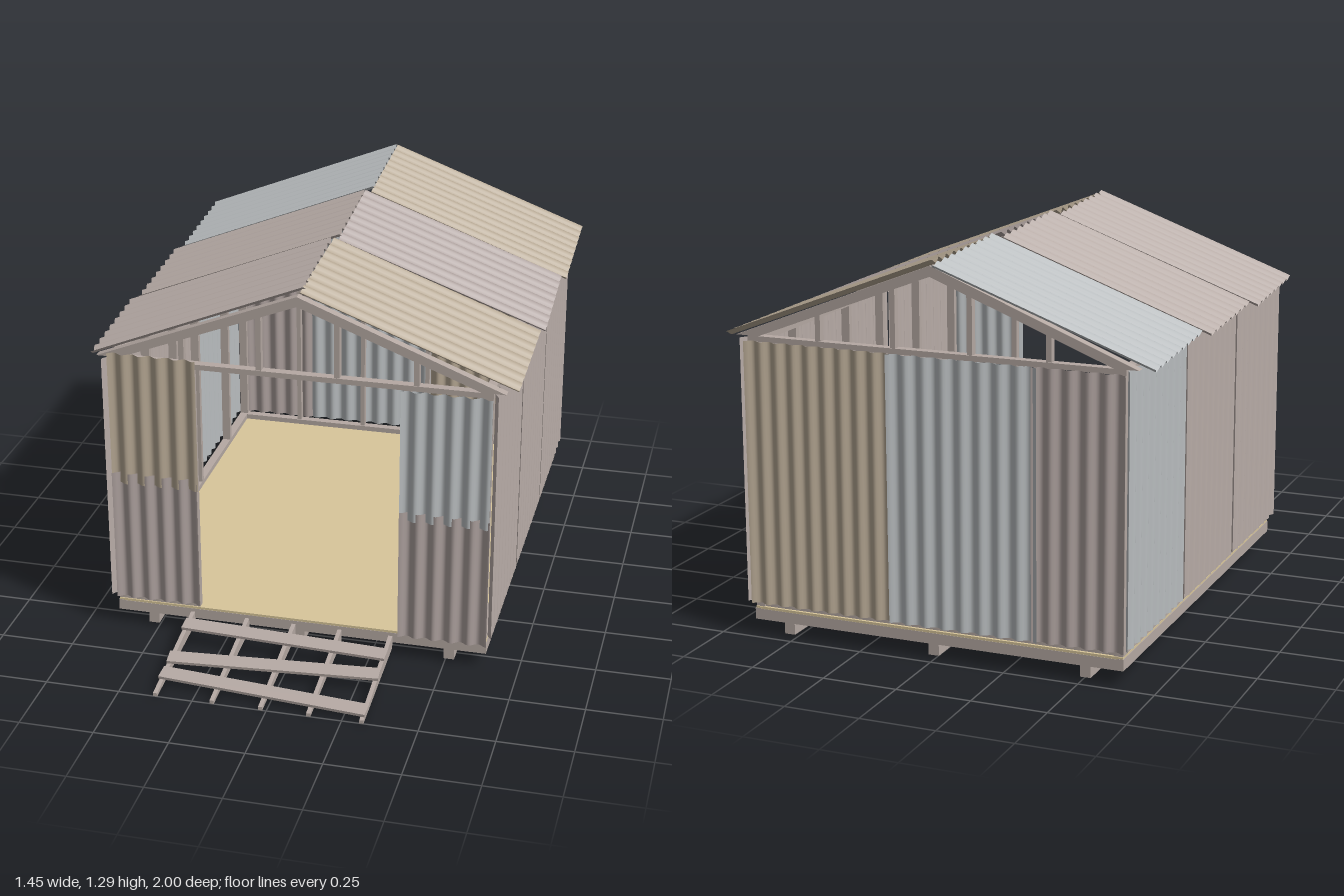
import * as THREE from 'three';

const mat = (color) => new THREE.MeshStandardMaterial({ color, side: THREE.DoubleSide });
const WOOD = mat(0xb5a9a3), FLOOR = mat(0xd8c69a);
const PINK = mat(0xb8aca7), MAUVE = mat(0xaca09d), TAN = mat(0xb3a591), SILVER = mat(0xb9bdbf);

export function createModel() {
  const root = new THREE.Group();

  const group = (name) => {
    const g = new THREE.Group();
    g.name = name;
    root.add(g);
    return g;
  };
  const add = (parent, name, geo, material) => {
    const m = new THREE.Mesh(geo, material);
    m.name = name;
    parent.add(m);
    return m;
  };
  // Box given by its minimum and maximum corners
  const beam = (parent, name, x0, x1, y0, y1, z0, z1, material = WOOD) => {
    const m = add(parent, name, new THREE.BoxGeometry(x1 - x0, y1 - y0, z1 - z0), material);
    m.position.set((x0 + x1) / 2, (y0 + y1) / 2, (z0 + z1) / 2);
    return m;
  };
  // Corrugated sheet facing +z, its ridges running along y
  const sheet = (parent, name, w, h, material, phase = 0) => {
    const waves = Math.max(3, Math.round(w / 0.06));
    const geo = new THREE.PlaneGeometry(w, h, waves * 8, 1);
    const p = geo.attributes.position;
    for (let i = 0; i < p.count; i++) {
      p.setZ(i, 0.008 * Math.cos((p.getX(i) / w + 0.5) * waves * Math.PI * 2 + phase));
    }
    geo.computeVertexNormals();
    return add(parent, name, geo, material);
  };

  // Skids, rim, joists and floor
  const base = group('floorFrame');
  for (const x of [-0.515, 0, 0.515]) beam(base, 'skid', x - 0.018, x + 0.018, 0.015, 0.052, -0.975, 0.57);
  for (const s of [-1, 1]) beam(base, 'rimJoist', s * 0.63 - 0.01, s * 0.63 + 0.01, 0.052, 0.09, -0.975, 0.57);
  for (let i = 0; i <= 12; i++) {
    const z = -0.965 + i * 1.525 / 12;
    beam(base, 'joist', -0.62, 0.62, 0.052, 0.088, z - 0.01, z + 0.01);
  }
  beam(base, 'floorBoard', -0.638, 0.638, 0.088, 0.096, -0.974, 0.569, FLOOR);

  // Wall framing
  const frame = group('wallFrame');
  for (const s of [-1, 1]) {
    const x0 = s * 0.622 - 0.015, x1 = s * 0.622 + 0.015;
    beam(frame, 'sidePlate', x0, x1, 0.096, 0.115, -0.97, 0.565);
    beam(frame, 'sideTopPlate', x0, x1, 0.975, 0.997, -0.97, 0.565);
    for (const z of [-0.955, -0.7, -0.32, -0.06, 0.24, 0.55]) {
      beam(frame, 'sideStud', x0, x1, 0.115, 0.975, z - 0.01, z + 0.01);
    }
    beam(frame, 'doorPost', s * 0.36 - 0.01, s * 0.36 + 0.01, 0.096, 0.985, 0.54, 0.565);
    beam(frame, 'frontPlate', s * 0.49 - 0.13, s * 0.49 + 0.13, 0.096, 0.115, 0.54, 0.565);
  }
  for (const x of [-0.39, -0.13, 0.13, 0.39]) beam(frame, 'backStud', x - 0.008, x + 0.008, 0.115, 0.985, -0.965, -0.94);
  beam(frame, 'backPlate', -0.62, 0.62, 0.096, 0.115, -0.965, -0.935);

  // Gable trusses: chevron rafters, tie beam and short studs
  const gables = group('gables');
  const chevron = new THREE.Shape([
    [-0.68, 1], [-0.6, 1], [0, 1.234], [0.6, 1], [0.68, 1], [0, 1.268],
  ].map(([x, y]) => new THREE.Vector2(x, y)));
  for (const z of [-0.97, -0.2, 0.54]) {
    add(gables, 'rafters', new THREE.ExtrudeGeometry(chevron, { depth: 0.03, bevelEnabled: false }), WOOD).position.z = z;
    if (z === -0.2) continue;
    beam(gables, 'tieBeam', -0.64, 0.64, 0.982, 1, z, z + 0.03);
    for (const x of [-0.39, -0.13, 0.13, 0.39]) {
      beam(gables, 'gableStud', x - 0.009, x + 0.009, 1, 1.24 - 0.39 * Math.abs(x), z + 0.003, z + 0.027);
    }
  }

  // Side walls: three sheets each, with narrow gaps between them
  const walls = group('wallSheets');
  for (const s of [-1, 1]) {
    for (const [z0, z1, m] of [[0.08, 0.587, PINK], [-0.448, 0.064, PINK], [-0.988, -0.46, s < 0 ? SILVER : PINK]]) {
      const p = sheet(walls, 'sideSheet', z1 - z0, 0.88, m);
      p.position.set(s * 0.65, 0.555, (z0 + z1) / 2);
      p.rotation.y = s * Math.PI / 2;
    }
  }
  // Back wall
  for (const [x0, x1, m, z] of [[-0.645, -0.34, MAUVE, -0.982], [-0.36, 0.145, SILVER, -0.986], [0.135, 0.645, TAN, -0.982]]) {
    const p = sheet(walls, 'backSheet', x1 - x0, 0.875, m);
    p.position.set((x0 + x1) / 2, 0.548, z);
    p.rotation.y = Math.PI;
  }
  // Front walls beside the doorway: upper and lower sheets that overlap
  for (const [x0, x1, y0, y1, m, phase] of [
    [-0.64, -0.34, 0.545, 1.015, TAN, 0.9], [-0.64, -0.345, 0.11, 0.582, MAUVE, 0],
    [0.342, 0.64, 0.52, 0.982, SILVER, 0.9], [0.342, 0.642, 0.085, 0.55, MAUVE, 0],
  ]) {
    const p = sheet(walls, 'frontSheet', x1 - x0, y1 - y0, m, phase);
    p.position.set((x0 + x1) / 2, (y0 + y1) / 2, 0.578);
  }

  // Roof: six sheets, each laid slightly askew [side, z, width, skew, material]
  const roof = group('roof');
  const run = 0.71, drop = 0.275, slope = Math.atan2(drop, run);
  for (const [s, z, w, skew, m] of [
    [-1, -0.712, 0.53, 0.055, SILVER], [-1, -0.19, 0.495, 0.052, PINK], [-1, 0.312, 0.495, 0.06, PINK],
    [1, -0.715, 0.53, 0.033, TAN], [1, -0.2, 0.495, 0.042, MAUVE], [1, 0.306, 0.5, 0.02, TAN],
  ]) {
    const p = sheet(roof, 'roofSheet', w, Math.hypot(run, drop), m);
    const up = new THREE.Vector3(-s * Math.cos(slope), Math.sin(slope), 0);
    const normal = new THREE.Vector3(s * Math.sin(slope), Math.cos(slope), 0);
    const across = new THREE.Vector3().crossVectors(up, normal);
    p.quaternion.setFromRotationMatrix(new THREE.Matrix4().makeBasis(across, up, normal));
    p.rotateZ(skew);
    p.position.set(s * 0.355, 1.139, z);
  }

  // Ramp: tapered stringers and three crooked planks
  const ramp = group('ramp');
  const side = new THREE.Shape([[0.57, 0.03], [1, 0], [1, 0.012], [0.57, 0.076]].map(([x, y]) => new THREE.Vector2(x, y)));
  for (const x of [-0.375, -0.183, -0.02, 0.14, 0.315]) {
    const geo = new THREE.ExtrudeGeometry(side, { depth: 0.014, bevelEnabled: false });
    geo.rotateY(-Math.PI / 2);
    add(ramp, 'stringer', geo, WOOD).position.x = x + 0.007;
  }
  for (const [z, yaw] of [[0.66, -0.045], [0.8, 0.065], [0.93, -0.08]]) {
    const p = add(ramp, 'plank', new THREE.BoxGeometry(0.71, 0.01, 0.055), WOOD);
    p.position.set(-0.03, 0.081 - (z - 0.57) * 0.148, z);
    p.rotation.set(0.147, yaw, 0);
  }
  return root;
}
